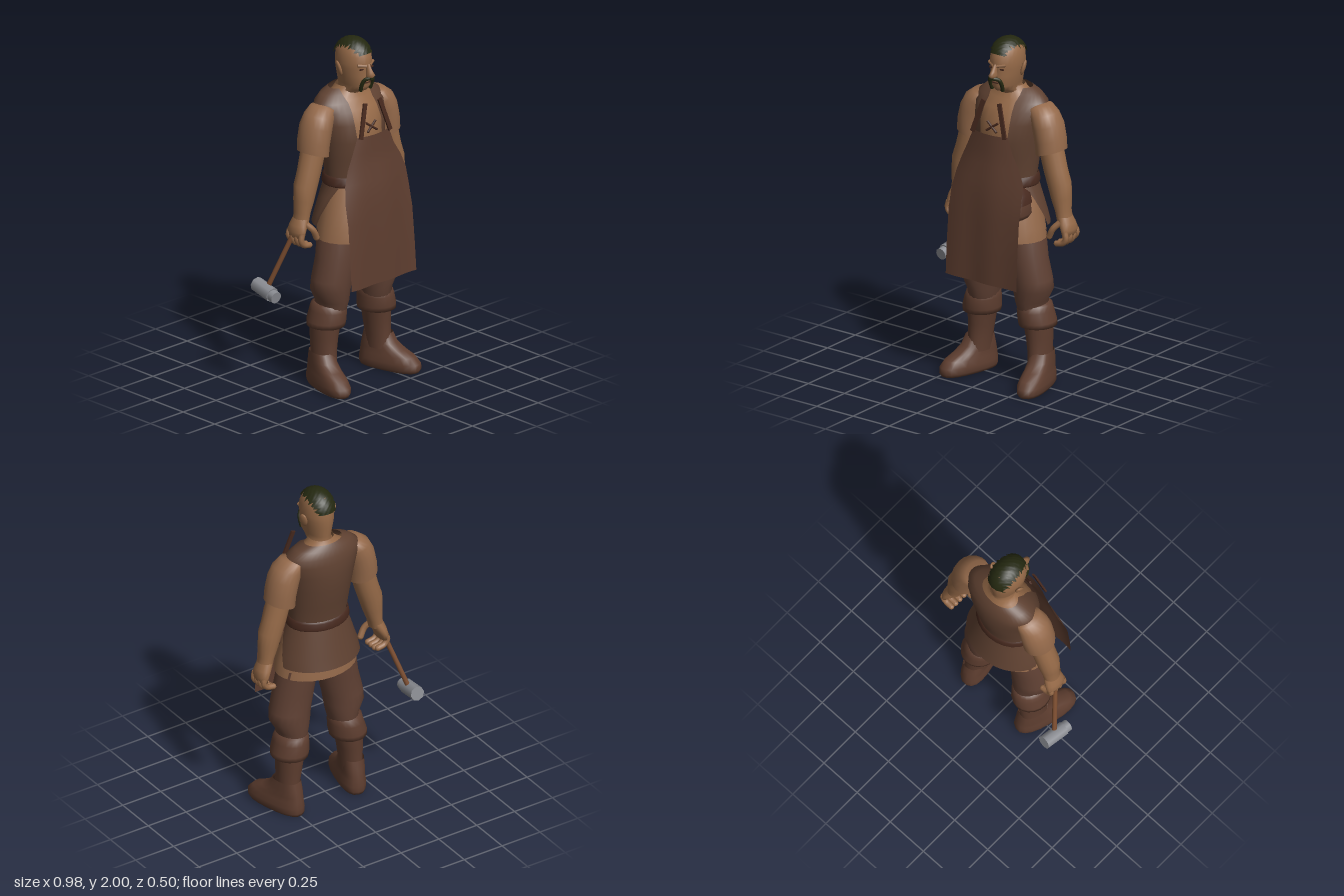
import * as THREE from 'three';

const CX = 0.055; // body axis; the hammer shifts the overall centre

function material(name, color) {
  const m = new THREE.MeshStandardMaterial({ color, side: THREE.DoubleSide });
  m.name = name;
  return m;
}

// Grid surface from fn(u, v) -> [x, y, z], u and v in 0..1
function surface(nu, nv, fn, closed = false) {
  const pos = [], idx = [], cols = closed ? nu : nu + 1;
  for (let i = 0; i <= nv; i++)
    for (let j = 0; j < cols; j++) pos.push(...fn(j / nu, i / nv));
  for (let i = 0; i < nv; i++)
    for (let j = 0; j < nu; j++) {
      const k = (j + 1) % cols, a = i * cols + j, b = i * cols + k;
      idx.push(a, b, b + cols, a, b + cols, a + cols);
    }
  const g = new THREE.BufferGeometry();
  g.setAttribute('position', new THREE.Float32BufferAttribute(pos, 3));
  g.setIndex(idx);
  g.computeVertexNormals();
  return g;
}

// Rings, bottom to top: [y, centre x, half width, back z, front z, front gap angle]
function loft(rings, { sides = 20, power = 1, tilt = 0, cap = false } = {}) {
  const open = rings.some(r => r[5]);
  const all = cap ? [[rings[0][0], rings[0][1], 0, ...Array(2).fill((rings[0][3] + rings[0][4]) / 2)], ...rings] : rings;
  const n = all.length - 1;
  return surface(sides, n, (u, v) => {
    const [y, cx, rx, zb, zf, gap = 0] = all[Math.round(v * n)];
    const t = gap + u * (2 * Math.PI - 2 * gap);
    const bend = s => Math.sign(s) * Math.abs(s) ** power;
    const dx = rx * bend(Math.sin(t));
    return [cx + dx, y + tilt * dx, (zb + zf) / 2 + (zf - zb) / 2 * bend(Math.cos(t))];
  }, !open);
}

function tube(points, r, sides = 8) {
  const curve = new THREE.CatmullRomCurve3(points.map(p => new THREE.Vector3(...p)));
  return new THREE.TubeGeometry(curve, 8, r, sides);
}

// Solid bar between two points
function bar(a, b, r, sides = 10) {
  const A = new THREE.Vector3(...a), B = new THREE.Vector3(...b), d = B.clone().sub(A);
  const g = new THREE.CylinderGeometry(r, r, d.length(), sides);
  g.applyQuaternion(new THREE.Quaternion().setFromUnitVectors(new THREE.Vector3(0, 1, 0), d.normalize()));
  return g.translate(...A.add(B).multiplyScalar(0.5).toArray());
}

export function createModel() {
  const skin = material('skin', 0x966a48);
  const linen = material('linen', 0x94694a);
  const leather = material('vest leather', 0x5f4131);
  const hide = material('apron leather', 0x5d3d2f);
  const trouser = material('trouser cloth', 0x5f4033);
  const dark = material('dark strap', 0x47291e);
  const hairMat = material('hair', 0x242810);
  const wood = material('wood', 0x7a4c2f);
  const steel = material('steel', 0x8a8c92);

  const model = new THREE.Group();
  const body = new THREE.Group();
  body.name = 'body';
  body.position.x = CX;
  model.add(body);
  const add = (name, geo, mat, parent = body) => {
    const m = new THREE.Mesh(geo, mat);
    m.name = name;
    parent.add(m);
    return m;
  };

  // Torso
  add('chest', loft([[1.3, 0, .165, -.14, .115], [1.42, 0, .18, -.16, .135], [1.53, 0, .195, -.17, .12],
    [1.6, 0, .2, -.165, .085], [1.65, 0, .15, -.15, .05], [1.69, 0, .09, -.125, .03], [1.72, 0, .072, -.11, .025]]), skin);
  add('vest', loft([[1.17, 0, .17, -.14, .125, .2], [1.22, 0, .172, -.14, .125, .25], [1.32, 0, .182, -.16, .135, .35],
    [1.43, 0, .198, -.178, .15, .48], [1.53, 0, .215, -.187, .135, .48], [1.6, 0, .232, -.182, .1, .42],
    [1.645, 0, .222, -.172, .065, .42], [1.685, 0, .175, -.155, .035, .6], [1.71, 0, .115, -.135, .01, .9]], { sides: 32 }), leather);
  add('tunicSkirt', loft([[.86, 0, .245, -.17, .2], [.93, 0, .235, -.165, .195], [1.05, 0, .205, -.15, .165],
    [1.2, 0, .165, -.13, .115]], { sides: 24 }), linen);
  add('vestSkirt', loft([[.935, 0, .25, -.205, .2, 1.75], [1.0, 0, .238, -.188, .19, 1.65], [1.1, 0, .205, -.165, .165, 1.4],
    [1.19, 0, .174, -.142, .13, 1]], { sides: 24 }), leather);
  add('belt', loft([[1.165, 0, .185, -.153, .145], [1.175, 0, .19, -.157, .15], [1.21, 0, .185, -.154, .145],
    [1.22, 0, .175, -.145, .13]], { sides: 24 }), dark);
  add('beltPouch', loft([[1.01, .175, .035, .07, .17], [1.04, .18, .05, .06, .188], [1.12, .175, .047, .065, .185],
    [1.17, .165, .035, .08, .165], [1.175, .165, 0, .12, .12]], { power: .6, cap: true }), hide);
  add('pouchFlap', loft([[1.1, .178, .055, .058, .194], [1.15, .172, .05, .062, .186], [1.18, .165, .03, .09, .16],
    [1.182, .165, 0, .12, .12]], { power: .6 }), dark);

  // Apron: [y, left edge, right edge, middle z, edge set-back]
  const rows = [[.625, -.245, .245, .246, .004], [.8, -.246, .242, .242, .01], [1.0, -.245, .24, .235, .02],
    [1.12, -.243, .238, .226, .035], [1.22, -.225, .235, .214, .045], [1.3, -.197, .205, .195, .035],
    [1.38, -.16, .155, .186, .028], [1.475, -.12, .118, .18, .024]];
  add('apron', surface(16, rows.length - 1, (u, v) => {
    const [y, a, b, z, back] = rows[Math.round(v * (rows.length - 1))];
    const s = 2 * u - 1;
    return [a + (b - a) * u, y, z - back * s * s + .004 * Math.sin(u * 13) * (1 - v)];
  }), hide);

  // Straps, shirt lacing
  for (const s of [-1, 1]) {
    const strap = add('apronStrap', new THREE.BoxGeometry(.026, .2, .01), dark);
    strap.position.set(s * .083, 1.565, .163);
    strap.rotation.set(-.14, 0, s * .29);
    add('lace', bar([-.035 * s, 1.485, .15], [.035 * s, 1.535, .138], .007, 6), dark);
  }

  // Head
  add('head', loft([[1.66, 0, .075, -.12, .03], [1.695, 0, .07, -.105, .04], [1.71, 0, .058, -.102, .095], [1.74, 0, .07, -.104, .116],
    [1.8, 0, .08, -.113, .12], [1.84, 0, .086, -.116, .113], [1.865, 0, .087, -.116, .121], [1.91, 0, .085, -.114, .112],
    [1.95, 0, .073, -.1, .093], [1.975, 0, .052, -.075, .065], [1.988, 0, 0, -.005, -.005]], { sides: 24 }), skin);
  add('nose', loft([[1.792, 0, .018, .1, .15], [1.812, 0, .021, .1, .168], [1.83, 0, .014, .1, .152],
    [1.87, 0, .01, .1, .124]], { sides: 10, cap: true }), skin);
  add('mouth', new THREE.BoxGeometry(.04, .006, .008), dark).position.set(0, 1.762, .116);
  add('moustacheMiddle', new THREE.BoxGeometry(.03, .012, .03), hairMat).position.set(0, 1.792, .138);
  for (const s of [-1, 1]) {
    add('moustache', tube([[s * .008, 1.793, .142], [s * .03, 1.785, .122], [s * .039, 1.755, .108], [s * .036, 1.715, .094]], .011), hairMat);
    add('eye', new THREE.BoxGeometry(.026, .008, .008), dark).position.set(s * .036, 1.842, .104);
    add('brow', bar([s * .012, 1.86, .118], [s * .058, 1.868, .094], .009, 6), skin);
    const ear = add('ear', new THREE.SphereGeometry(1, 10, 8), skin);
    ear.scale.set(.012, .046, .026);
    ear.position.set(s * .097, 1.835, -.014);
    ear.rotation.set(-.15, s * .4, -s * .2);
  }
  // Cropped hair with a ragged edge, following the crown
  add('hair', surface(10, 28, (u, v) => {
    const a = .4 + v * 2.6;
    const ragged = .008 * Math.sin(v * 71) + .005 * Math.sin(v * 133 + u * 3);
    const x = (2 * u - 1) * (.048 + .026 * Math.sin(v * Math.PI * .9) + ragged);
    const k = Math.sqrt(1 - (x / .1) ** 2) * (1 + .012 * Math.sin(v * 60 + u * 37));
    return [x, 1.88 + .119 * Math.sin(a) * k, -.002 + .123 * Math.cos(a) * k];
  }), hairMat);

  // Limbs, built on the left and mirrored
  for (const s of [-1, 1]) {
    const side = new THREE.Group();
    side.name = s > 0 ? 'leftLimbs' : 'rightLimbs';
    side.scale.x = s;
    body.add(side);

    add('trouserLeg', loft([[.44, .17, .08, -.1, .09], [.5, .165, .088, -.105, .105], [.57, .178, .116, -.108, .115],
      [.63, .172, .118, -.105, .12], [.75, .145, .118, -.1, .125], [.9, .12, .115, -.115, .12], [1.05, .09, .095, -.11, .1]]), trouser, side);
    add('bootCuff', loft([[.35, .192, .075, -.11, .065], [.352, .193, .104, -.13, .093], [.38, .19, .106, -.132, .098],
      [.44, .18, .097, -.125, .1], [.475, .177, .092, -.115, .085], [.485, .173, .075, -.1, .07]]), hide, side);
    add('bootShaft', loft([[.12, .21, .062, -.11, .07], [.2, .205, .062, -.105, .06], [.28, .2, .07, -.112, .062],
      [.37, .192, .08, -.115, .07]]), hide, side);
    const foot = add('bootFoot', loft([[0, 0, .066, -.105, .26], [.018, 0, .076, -.11, .27], [.05, 0, .078, -.11, .268],
      [.085, 0, .07, -.105, .235], [.115, 0, .066, -.1, .17], [.15, 0, .064, -.092, .115], [.2, 0, .06, -.08, .085]],
      { power: .8, cap: true }), hide, side);
    foot.position.set(.215, 0, -.03);
    foot.rotation.y = .25;

    add('sleeve', loft([[1.375, .272, .084, -.132, .055], [1.44, .266, .083, -.136, .058], [1.52, .248, .083, -.138, .058],
      [1.58, .222, .078, -.13, .052], [1.625, .19, .058, -.12, .035], [1.65, .165, 0, -.045, -.045]], { tilt: .3 }), linen, side);
    add('arm', loft([[1.0, .367, .04, -.085, .015], [1.05, .357, .042, -.085, .016], [1.12, .345, .057, -.093, .024],
      [1.2, .33, .068, -.1, .03], [1.28, .303, .068, -.1, .03], [1.4, .272, .068, -.105, .035], [1.48, .255, .06, -.1, .03]],
      { sides: 16, tilt: .15 }), skin, side);
    add('palm', loft([[.915, .397, .024, -.1, .022], [.95, .394, .033, -.105, .026], [.985, .38, .04, -.098, .022],
      [1.025, .363, .04, -.085, .014]], { sides: 16, cap: true }), skin, side);
    for (let i = 0; i < 4; i++) {
      const z = -.088 + i * .033, drop = i === 0 ? .012 : 0;
      add('finger', tube([[.4, .945, z], [.408, .905 + drop, z], [.388, .876 + drop, z], [.345, .866 + drop, z]], .017), skin, side);
      add('fingertip', new THREE.SphereGeometry(.017, 8, 6), skin, side).position.set(.345, .866 + drop, z);
    }
    add('thumb', tube([[.37, .995, .008], [.335, .955, .03], [.308, .905, .028]], .018), skin, side);
    add('thumbTip', new THREE.SphereGeometry(.018, 8, 6), skin, side).position.set(.308, .905, .028);
  }

  // Hammer in the right hand
  const hammer = new THREE.Group();
  hammer.name = 'hammer';
  model.add(hammer);
  add('hammerHandle', bar([-.33, 1.0, -.03], [-.452, .585, -.168], .014), wood, hammer);
  add('hammerHead', bar([-.461, .583, -.105], [-.447, .608, -.245], .042, 8), steel, hammer);
  add('hammerFace', bar([-.464, .577, -.072], [-.461, .583, -.106], .034, 12), steel, hammer);
  return model;
}
